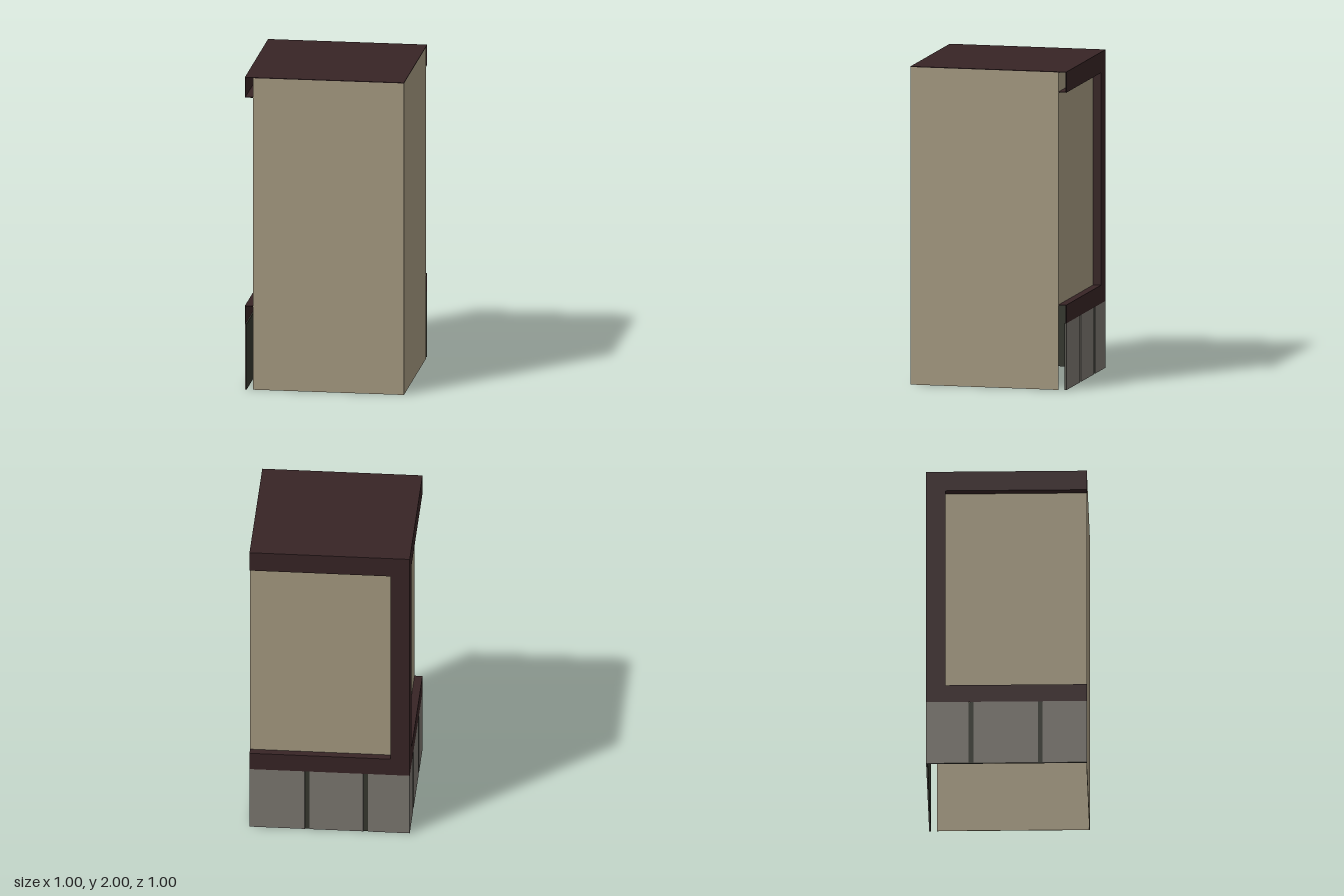
import * as THREE from 'three';

const mat = (name, color) => {
  const m = new THREE.MeshStandardMaterial({ color });
  m.name = name;
  return m;
};

export function createModel() {
  const model = new THREE.Group();
  model.name = 'wallCorner';
  const plaster = mat('tan plaster', 0xa49980);
  const timber = mat('dark brown timber', 0x372425);
  const stone = mat('grey stone', 0x7a766f);
  const mortar = mat('dark mortar', 0x35372e);
  const T = 0.004; // sheet thickness
  const H = 2 - T; // height below the roof sheet

  const box = (parent, name, material, x0, x1, y0, y1, z0, z1) => {
    const mesh = new THREE.Mesh(new THREE.BoxGeometry(x1 - x0, y1 - y0, z1 - z0), material);
    mesh.position.set((x0 + x1) / 2, (y0 + y1) / 2, (z0 + z1) / 2);
    mesh.name = name;
    parent.add(mesh);
  };

  // Roof sheet and the two plain walls, open underneath
  box(model, 'roof', timber, -0.5, 0.5, H, 2, -0.5, 0.5);
  box(model, 'frontWall', plaster, -0.45, 0.5, 0, H, 0.5 - T, 0.5);
  box(model, 'leftWall', plaster, 0.5 - T, 0.5, 0, H, -0.45, 0.5 - T);

  // The two framed sides mirror each other across the corner post;
  // u runs along the side away from the corner, d is the depth.
  const sides = [
    { name: 'backSide', swap: false, joints: [0.275, 0.64] },
    { name: 'rightSide', swap: true, joints: [0.28, 0.71] },
  ];
  for (const { name, swap, joints } of sides) {
    const side = new THREE.Group();
    side.name = name;
    model.add(side);
    const part = (n, m, u0, u1, y0, y1, d0, d1) => swap
      ? box(side, n, m, d0, d1, y0, y1, u0, u1)
      : box(side, n, m, u0, u1, y0, y1, d0, d1);

    part('plasterPanel', plaster, -0.45, 0.5 - T, 0.535, H, -0.45, -0.45 + T);

    // Timber frame: outer faces and the reveals behind them
    const face = [-0.5, -0.5 + T], reveal = [-0.5 + T, -0.45];
    part('topBeam', timber, -0.5, 0.5, 1.87, H, ...face);
    part('topBeamUnderside', timber, -0.45, 0.5, 1.87, 1.87 + T, ...reveal);
    part('cornerPost', timber, -0.5, -0.38, 0.535, 1.87, ...face);
    part('cornerPostSide', timber, -0.38 - T, -0.38, 0.535, 1.87, ...reveal);
    part('lowerBeam', timber, -0.5, 0.5, 0.42, 0.535, ...face);
    part('lowerBeamLedge', timber, -0.5 + T, 0.5, 0.535 - T, 0.535, ...reveal);

    // Stone plinth: mortar backing with slabs separated by joints
    part('mortarBacking', mortar, -0.494, 0.5, 0, 0.42, -0.494, -0.488);
    const edges = [-0.015, ...joints, 1.015];
    for (let i = 0; i < 3; i++) {
      part('stoneSlab', stone, edges[i] + 0.015 - 0.5, edges[i + 1] - 0.015 - 0.5,
        0, 0.42, -0.5, -0.494);
    }
  }
  return model;
}
